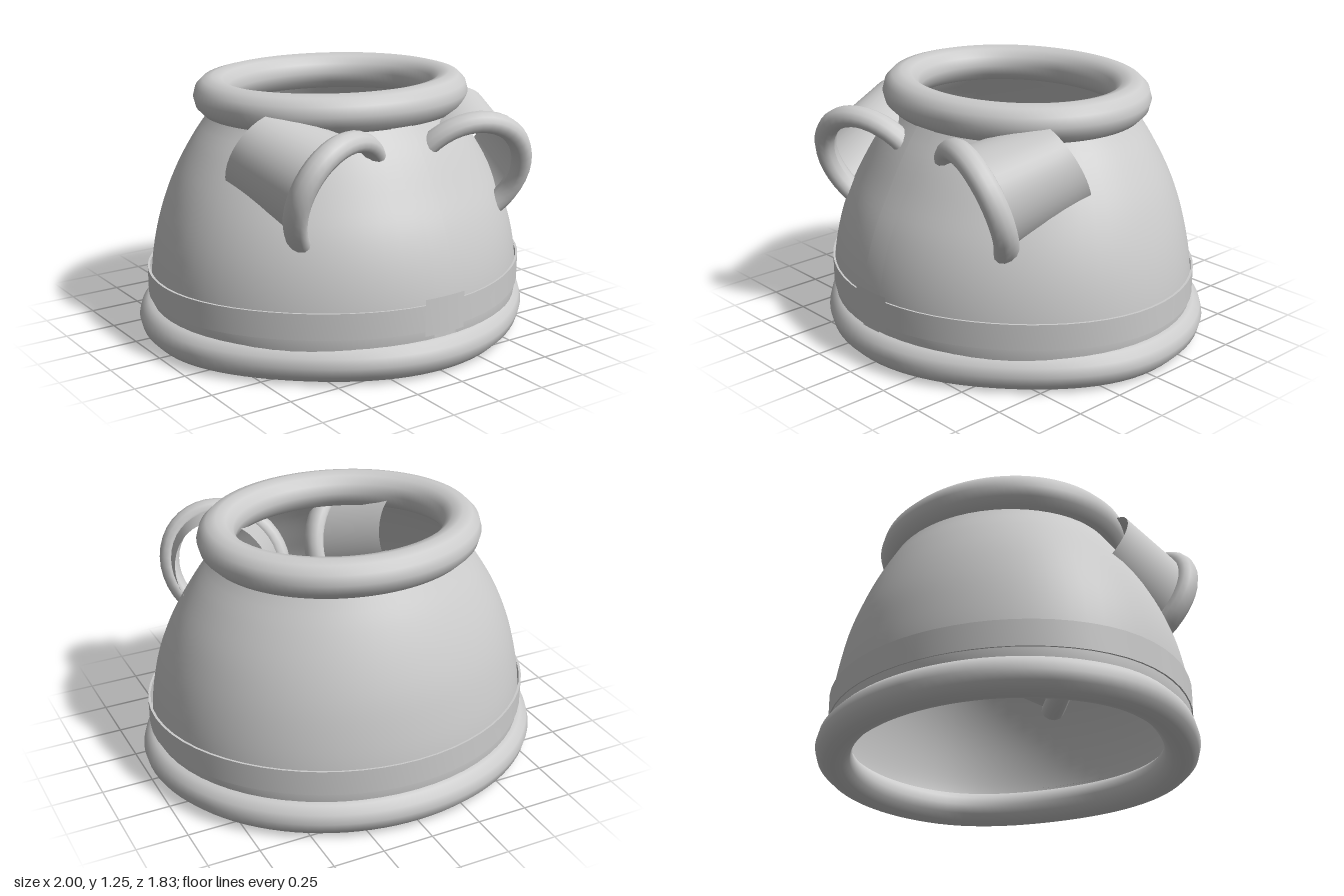
import * as THREE from 'three';
import { toCreasedNormals } from 'three/addons/utils/BufferGeometryUtils.js';

const SEG = 64;

// Skin a list of rows of points; closed rows wrap round.
function loft(rows, closed = true) {
  const n = rows[0].length, pos = rows.flat(2), idx = [];
  for (let i = 0; i < rows.length - 1; i++) {
    for (let j = 0; j < (closed ? n : n - 1); j++) {
      const k = (j + 1) % n, a = i * n + j, b = i * n + k, c = a + n, d = b + n;
      idx.push(a, c, b, b, c, d);
    }
  }
  const g = new THREE.BufferGeometry();
  g.setAttribute('position', new THREE.Float32BufferAttribute(pos, 3));
  g.setIndex(idx);
  g.computeVertexNormals();
  return g;
}

// Ring of points, each placed by a rule of its angle.
const ring = (fn, n = SEG) =>
  Array.from({ length: n }, (_, i) => fn((i / n) * Math.PI * 2));

// Level ellipse, drawn in a little on the front and back diagonals
const ellipse = (y, rx, rz, cz = 0, front = 0, back = 0) => ring(a => {
  const s = 1 - (Math.cos(a) > 0 ? front : back) * Math.sin(2 * a) ** 2;
  return [rx * s * Math.sin(a), y, cz + rz * s * Math.cos(a)];
});

// Padded roll along a closed ring
function roll(points, radius) {
  const curve = new THREE.CatmullRomCurve3(points.map(p => new THREE.Vector3(...p)), true);
  return new THREE.TubeGeometry(curve, 96, radius, 12, true);
}

// Body sections: y, half width, half depth, z of the centre
const SECTIONS = [
  [0.10, 0.92, 0.84, 0], [0.20, 0.938, 0.857, 0], [0.34, 0.932, 0.853, 0],
  [0.50, 0.905, 0.826, -0.003], [0.65, 0.86, 0.782, -0.012], [0.80, 0.795, 0.715, -0.025],
  [0.95, 0.705, 0.637, -0.033], [1.08, 0.61, 0.555, -0.04], [1.17, 0.565, 0.5, -0.042],
];

// Smoothly interpolated section at height y
function sectionAt(y) {
  let i = 0;
  while (i < SECTIONS.length - 2 && SECTIONS[i + 1][0] < y) i++;
  const p = k => SECTIONS[Math.min(Math.max(k, 0), SECTIONS.length - 1)];
  const [a, b, c, d] = [p(i - 1), p(i), p(i + 1), p(i + 2)];
  const t = (y - b[0]) / (c[0] - b[0]), h = c[0] - b[0];
  return [1, 2, 3].map(k => {
    const m0 = (c[k] - a[k]) / (c[0] - a[0]) * h, m1 = (d[k] - b[k]) / (d[0] - b[0]) * h;
    return (2 * t ** 3 - 3 * t * t + 1) * b[k] + (t ** 3 - 2 * t * t + t) * m0
      + (3 * t * t - 2 * t ** 3) * c[k] + (t ** 3 - t * t) * m1;
  });
}

const steps = (a, b, n) => Array.from({ length: n + 1 }, (_, i) => a + (b - a) * i / n);

// Row of points across the front, curved with the body
const frontRow = (y, halfWidth, rx, z) =>
  steps(-halfWidth, halfWidth, 6).map(x => [x, y, z * Math.sqrt(1 - (x / rx) ** 2)]);

export function createModel() {
  const model = new THREE.Group();
  const cloth = new THREE.MeshStandardMaterial({ color: 0xcccccc, side: THREE.DoubleSide });
  cloth.name = 'grey cloth';
  const add = (name, geometry, parent = model) => {
    const m = new THREE.Mesh(geometry, cloth);
    m.name = name;
    parent.add(m);
  };

  // Open bell-shaped body
  add('coatBody', loft(steps(0.1, 1.17, 28).map(y => ellipse(y, ...sectionAt(y), 0.018))));

  // Hem and collar rolls
  add('hemTrim', roll(ellipse(0.094, 0.912, 0.828, -0.003, 0.05), 0.088));
  add('collarTrim', roll(ellipse(1.16, 0.596, 0.518, -0.042), 0.093));

  // Belt band with top and bottom edges
  add('belt', toCreasedNormals(loft([
    [0.22, 0.95, 0.861], [0.22, 0.959, 0.867], [0.345, 0.96, 0.868], [0.345, 0.948, 0.859],
  ].map(([y, rx, rz]) => ellipse(y, rx, rz, 0, 0.027, 0.009))), 0.6));

  // Front placket following the body
  add('placket', loft(steps(0.3, 1.1, 20).map(y => {
    const [rx, rz, cz] = sectionAt(y);
    return frontRow(y, 0.06, rx, cz + rz + 0.012);
  }), false));

  // Stepped buckle plate: height and half width of each row
  add('buckle', loft([[0.185, 0.06], [0.2, 0.06], [0.2, 0.11], [0.375, 0.11]]
    .map(([y, w]) => frontRow(y, w, 0.96, 0.873)), false));

  // Sleeves pierce the body; both ends are cut along slanted planes
  for (const s of [1, -1]) {
    const sleeve = new THREE.Group();
    sleeve.name = s > 0 ? 'leftSleeve' : 'rightSleeve';
    model.add(sleeve);
    const slant = (cx, cy, cz, r, kx, ky) => ring(a => {
      const dx = r * Math.cos(a), dy = r * Math.sin(a);
      return [s * (cx + dx), cy + dy, cz + kx * dx + ky * dy];
    }, 40);
    // Cuff ring of radius r, moved by d along the cuff's axis
    const cuffRing = (r, d) => slant(0.365 - 0.3 * d, 0.815 - 0.32 * d, 0.537 + 0.89 * d, r, 0.33, 0.37);
    const shoulder = slant(0.52, 0.95, 0.165, 0.22, 0.25, 0.52);
    const end = cuffRing(0.262, 0);
    add('sleeveTube', loft(steps(0, 1, 6).map(t =>
      shoulder.map((p, i) => p.map((v, k) => v + (end[i][k] - v) * t)))), sleeve);
    // Wide padded band with a rounded oblong section
    add('cuff', loft(steps(Math.PI, 3 * Math.PI, 12).map(t =>
      cuffRing(0.267 + 0.046 * Math.cos(t), 0.06 * Math.sin(t)))), sleeve);
  }

  return model;
}
